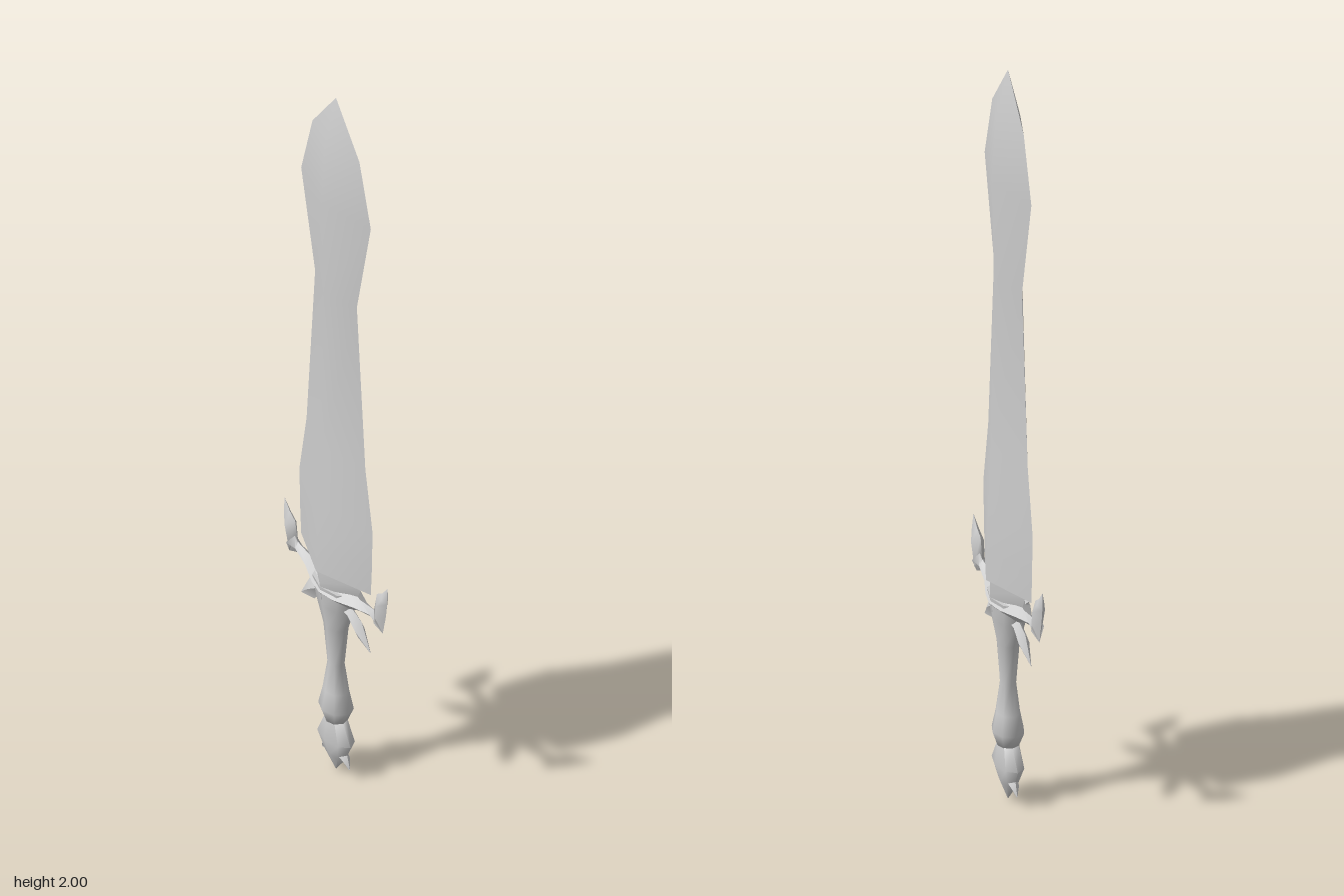
import * as THREE from 'three';
import { toCreasedNormals } from 'three/addons/utils/BufferGeometryUtils.js';

const steel = new THREE.MeshStandardMaterial({ color: 0xcccccc });

// Skin a list of equal-sized rings (counter-clockwise seen from the far end), with capped ends.
function loft(name, rings, crease = 1.05) {
  const n = rings[0].length;
  const pos = [];
  const index = [];
  rings.forEach((ring) => ring.forEach((p) => pos.push(...p)));
  for (let r = 0; r < rings.length - 1; r++) {
    for (let i = 0; i < n; i++) {
      const a = r * n + i, b = r * n + (i + 1) % n;
      index.push(a, b, b + n, a, b + n, a + n);
    }
  }
  const last = (rings.length - 1) * n;
  for (let i = 1; i < n - 1; i++) {
    index.push(0, i + 1, i, last, last + i, last + i + 1);
  }
  const geo = new THREE.BufferGeometry();
  geo.setAttribute('position', new THREE.Float32BufferAttribute(pos, 3));
  geo.setIndex(index);
  const mesh = new THREE.Mesh(toCreasedNormals(geo, crease), steel);
  mesh.name = name;
  return mesh;
}

// Horizontal elliptical rings from [y, half depth, half width]; four sides give a diamond.
function upright(name, profile, sides, crease) {
  return loft(name, profile.map(([y, hz, hx]) =>
    Array.from({ length: sides }, (_, i) => {
      const a = (i / sides) * Math.PI * 2;
      return [hx * Math.sin(a), y, hz * Math.cos(a)];
    })), crease);
}

// Diamond rings reaching outward along z from [top z, top y, bottom z, bottom y, half width].
function outward(name, stations, side, crease) {
  return loft(name, stations.map(([tz, ty, bz, by, w]) => {
    const mz = side * (tz + bz) / 2, my = (ty + by) / 2;
    const ring = [[0, ty, side * tz], [-w, my, mz], [0, by, side * bz], [w, my, mz]];
    return side > 0 ? ring : ring.reverse();
  }), crease);
}

export function createModel() {
  const sword = new THREE.Group();
  sword.name = 'sword';

  // Leaf-shaped blade with a central ridge
  sword.add(upright('blade', [
    [0.61, 0.16, 0.058], [0.69, 0.165, 0.056], [0.8, 0.168, 0.052], [0.97, 0.135, 0.045],
    [1.43, 0.096, 0.037], [1.7, 0.16, 0.043], [1.87, 0.108, 0.032], [2, 0, 0],
  ], 4));

  // Collar that seats the blade in the guard
  sword.add(upright('collar', [
    [0.52, 0.06, 0.043], [0.57, 0.1, 0.048], [0.612, 0.122, 0.048],
  ], 4));

  // Grip and pommel
  sword.add(upright('grip', [
    [0.15, 0.032, 0.027], [0.19, 0.051, 0.041], [0.24, 0.038, 0.031], [0.32, 0.023, 0.021],
    [0.43, 0.038, 0.028], [0.5, 0.065, 0.04], [0.56, 0.08, 0.047],
  ], 8, 1.3));
  sword.add(upright('pommel', [
    [0, 0, 0], [0.05, 0.042, 0.02], [0.1, 0.067, 0.035], [0.155, 0.032, 0.027],
  ], 8, 1.3));

  for (const side of [1, -1]) {
    // Guard arm
    sword.add(outward('guardArm', [
      [0, 0.6, 0, 0.49, 0.05], [0.05, 0.585, 0.05, 0.505, 0.04],
      [0.11, 0.567, 0.11, 0.535, 0.02], [0.175, 0.575, 0.165, 0.548, 0.011],
      [0.19, 0.6, 0.215, 0.527, 0.017],
    ], side, 1.3));
    // Upswept point at the end of the arm
    sword.add(outward('guardPoint', [
      [0.175, 0.575, 0.215, 0.527, 0.014], [0.188, 0.63, 0.23, 0.59, 0.017],
      [0.212, 0.645, 0.235, 0.625, 0.01], [0.237, 0.673, 0.237, 0.673, 0],
    ], side, 1.3));
    // Leaf spike slanting down below the guard
    sword.add(outward('guardSpike', [
      [0.04, 0.53, 0.035, 0.49, 0.016], [0.075, 0.52, 0.065, 0.485, 0.012],
      [0.118, 0.505, 0.1, 0.45, 0.014], [0.16, 0.436, 0.155, 0.436, 0],
    ], side, 0.6));
    // Small barb on the pommel
    sword.add(outward('pommelBarb', [
      [0.03, 0.085, 0.02, 0.045, 0.016], [0.052, 0.068, 0.042, 0.04, 0.011],
      [0.064, 0.034, 0.06, 0.03, 0],
    ], side, 0.6));
  }
  return sword;
}
